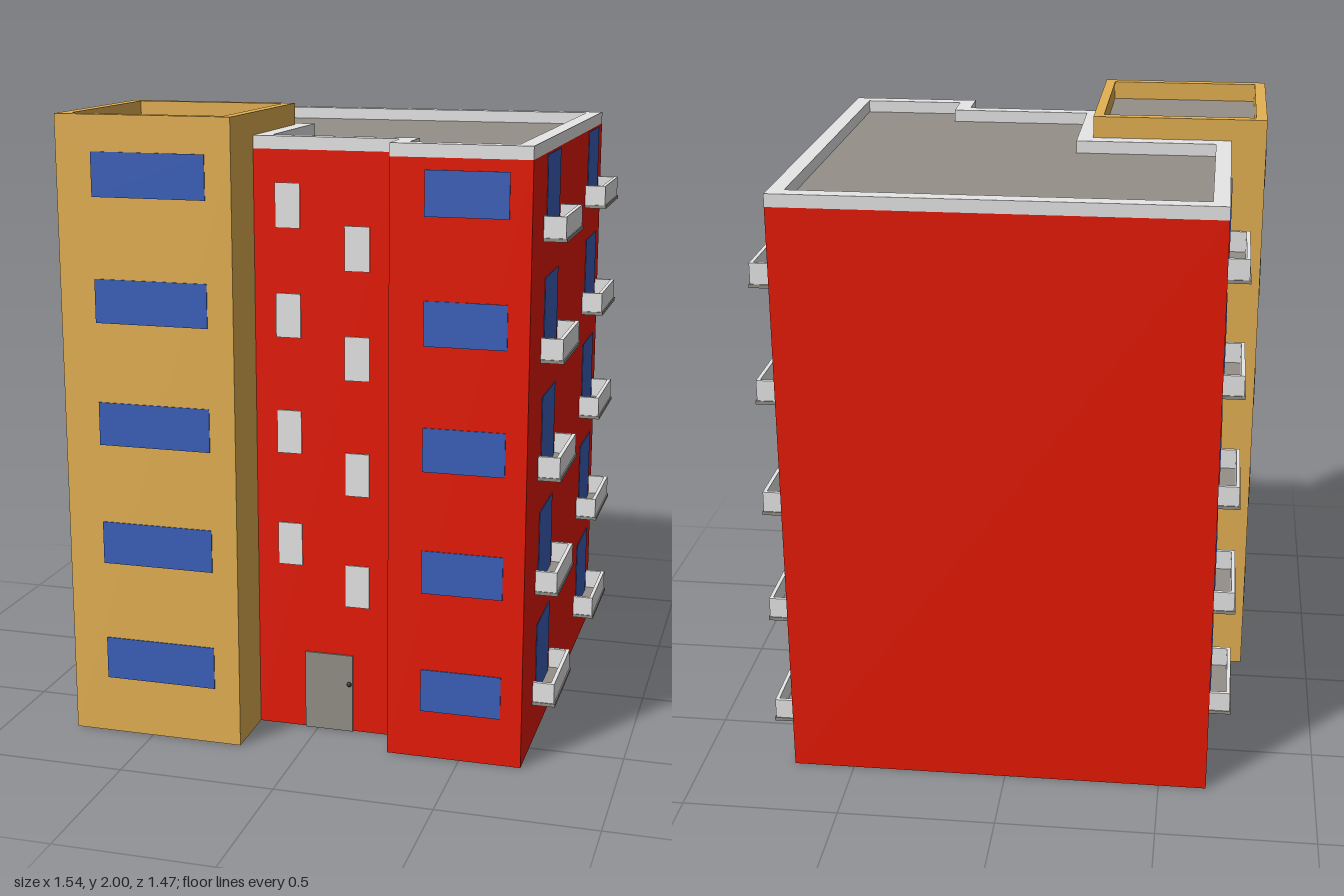
import * as THREE from 'three';

const mat = (name, color, side = THREE.FrontSide) =>
  Object.assign(new THREE.MeshStandardMaterial({ color, side }), { name });

export function createModel() {
  const red = mat('red wall', 0xe81a05, THREE.DoubleSide);
  const tan = mat('tan wall', 0xe4b153, THREE.DoubleSide);
  const blue = mat('blue glass', 0x3b61bc);
  const light = mat('light grey', 0xe8e8e8);
  const grey = mat('grey', 0x949089, THREE.DoubleSide);
  const dark = mat('dark handle', 0x333333);

  const model = new THREE.Group();
  model.name = 'apartmentBlock';

  const add = (parent, name, geometry, material) => {
    const mesh = new THREE.Mesh(geometry, material);
    mesh.name = name;
    parent.add(mesh);
    return mesh;
  };

  // Box given by its lower and upper corners
  const box = (parent, name, material, [x0, y0, z0], [x1, y1, z1]) => {
    const mesh = add(parent, name, new THREE.BoxGeometry(x1 - x0, y1 - y0, z1 - z0), material);
    mesh.position.set((x0 + x1) / 2, (y0 + y1) / 2, (z0 + z1) / 2);
  };

  // Open ribbon of upright walls along a plan path of [x, z] points
  const walls = (name, path, height, material) => {
    const p = [];
    for (let i = 0; i < path.length - 1; i++) {
      const [ax, az] = path[i], [bx, bz] = path[i + 1];
      p.push(ax, 0, az, bx, 0, bz, bx, height, bz);
      p.push(ax, 0, az, bx, height, bz, ax, height, az);
    }
    const g = new THREE.BufferGeometry();
    g.setAttribute('position', new THREE.Float32BufferAttribute(p, 3));
    g.computeVertexNormals();
    add(model, name, g, material);
  };

  // Plan outlines turned into flat roofs and raised rims
  const outline = (pts) => pts.map(([x, z]) => new THREE.Vector2(x, -z));
  const roof = (name, pts, y) => {
    const g = new THREE.ShapeGeometry(new THREE.Shape(outline(pts))).rotateX(-Math.PI / 2);
    add(model, name, g, grey).position.y = y;
  };
  const rim = (name, outer, inner, y0, y1, material) => {
    const shape = new THREE.Shape(outline(outer));
    shape.holes.push(new THREE.Path(outline(inner)));
    const g = new THREE.ExtrudeGeometry(shape, { depth: y1 - y0, bevelEnabled: false });
    add(model, name, g.rotateX(-Math.PI / 2), material).position.y = y0;
  };
  const rect = (x0, z0, x1, z1) => [[x0, z1], [x1, z1], [x1, z0], [x0, z0]];

  // Main block: walls, parapet and roof
  const wallTop = 1.89;
  const mainPath = [[-0.2, 0.524], [0.267, 0.524], [0.267, 0.653], [0.697, 0.653],
    [0.697, -0.736], [-0.653, -0.736], [-0.653, 0.097]];
  const mainInner = [[-0.149, 0.477], [0.317, 0.477], [0.317, 0.603], [0.647, 0.603],
    [0.647, -0.684], [-0.603, -0.684], [-0.603, 0.043], [-0.149, 0.043]];
  walls('mainWalls', mainPath, wallTop, red);
  rim('mainParapet', [...mainPath, [-0.2, 0.097]], mainInner, wallTop, 1.93, light);
  roof('mainRoof', mainInner, wallTop);

  // Corner tower, joined to the main block without inner walls
  walls('towerWalls', [[-0.653, 0.097], [-0.766, 0.097], [-0.766, 0.73], [-0.2, 0.73], [-0.2, 0.524]], wallTop, tan);
  const towerInner = rect(-0.73, 0.133, -0.233, 0.693);
  rim('towerParapet', rect(-0.766, 0.097, -0.2, 0.73), towerInner, wallTop, 2, tan);
  roof('towerRoof', towerInner, 1.94);

  // Balcony with its glazed door, facing +x from the wall plane
  const balcony = (name, doorDepth) => {
    const g = new THREE.Group();
    g.name = name;
    box(g, 'balconyDoor', blue, [0.001, -0.005, -0.117], [doorDepth, 0.257, 0.117]);
    box(g, 'balconyFloor', grey, [0, 0, -0.16], [0.073, 0.011, 0.16]);
    box(g, 'frontRail', light, [0.057, 0.011, -0.157], [0.069, 0.077, 0.157]);
    for (const s of [-1, 1]) {
      const z = s * 0.151;
      box(g, 'sideRail', light, [0, 0.011, z - 0.006], [0.057, 0.077, z + 0.006]);
    }
    return g;
  };

  for (let i = 0; i < 5; i++) {
    // Wide windows on the tower and on the right front bay
    const yt = 0.186 + i * 0.391, yb = 0.156 + i * 0.39;
    box(model, 'towerFrontWindow', blue, [-0.65, yt, 0.731], [-0.283, yt + 0.138, 0.734]);
    box(model, 'towerSideWindow', blue, [-0.77, yt, 0.203], [-0.767, yt + 0.138, 0.57]);
    box(model, 'bayWindow', blue, [0.375, yb, 0.654], [0.63, yb + 0.138, 0.657]);

    // Balconies: two columns on one side, one on the other
    const y = 0.131 + i * 0.374;
    for (const z of [0.301, -0.531]) {
      const b = balcony('leftBalcony', 0.003);
      b.position.set(0.697, y, z);
      model.add(b);
    }
    const b = balcony('rightBalcony', 0.005);
    b.rotation.y = Math.PI;
    b.position.set(-0.653, y, -0.33);
    model.add(b);
  }

  // Staggered stairwell windows
  const stairWindow = (x, y) =>
    box(model, 'stairWindow', light, [x, y, 0.525], [x + 0.08, y + 0.14, 0.529]);
  for (const y of [0.556, 0.928, 1.303, 1.648]) {
    stairWindow(-0.13, y);
    stairWindow(0.093, y - 0.127);
  }

  // Entrance door and handle
  box(model, 'entranceDoor', grey, [-0.042, 0, 0.525], [0.118, 0.262, 0.531]);
  add(model, 'doorHandle', new THREE.SphereGeometry(0.008, 12, 8), dark).position.set(0.108, 0.165, 0.536);

  return model;
}
